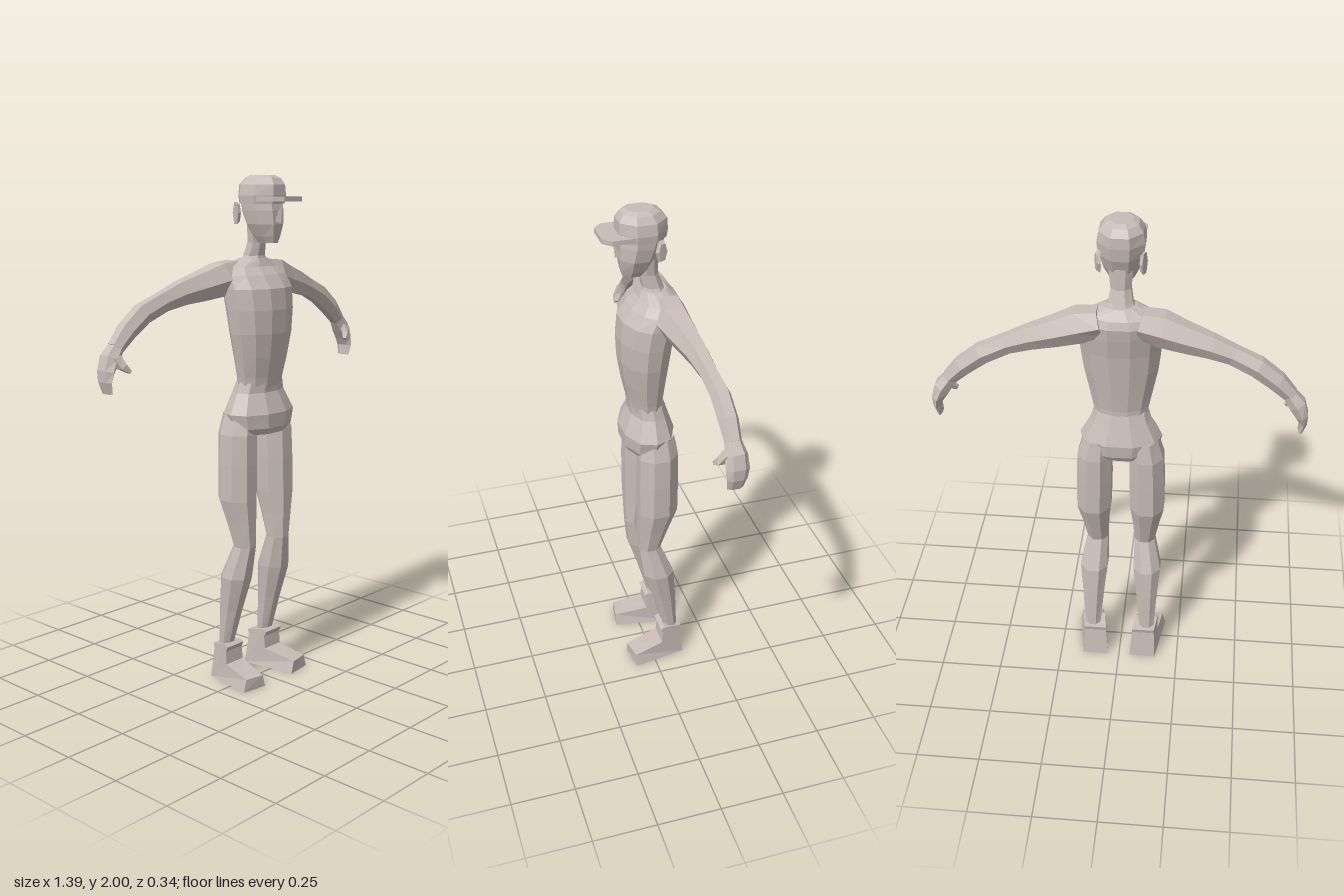
import * as THREE from 'three';

const clay = new THREE.MeshStandardMaterial({ color: 0xc9bcb7, flatShading: true });
clay.name = 'warm grey';

function mesh(name, geometry) {
  const flat = geometry.index ? geometry.toNonIndexed() : geometry;
  flat.computeVertexNormals();
  const m = new THREE.Mesh(flat, clay);
  m.name = name;
  return m;
}

// Closed skin through rings of equal point count, wound counter-clockwise about the travel direction
function skin(rings) {
  const n = rings[0].length, pos = [], index = [];
  const mid = r => r.reduce((a, p) => a.add(p), new THREE.Vector3()).divideScalar(n);
  rings.forEach(r => r.forEach(p => pos.push(p.x, p.y, p.z)));
  const first = rings.length * n;
  [mid(rings[0]), mid(rings[rings.length - 1])].forEach(p => pos.push(p.x, p.y, p.z));
  for (let k = 0; k < n; k++) {
    const j = (k + 1) % n;
    for (let i = 0; i < rings.length - 1; i++) {
      const a = i * n + k, b = i * n + j;
      index.push(a, b, b + n, a, b + n, a + n);
    }
    index.push(first, j, k, first + 1, first - n + k, first - n + j);
  }
  const g = new THREE.BufferGeometry();
  g.setAttribute('position', new THREE.Float32BufferAttribute(pos, 3));
  g.setIndex(index);
  return g;
}

// Upright loft; each row is [y, xMin, xMax, zBack, zFront]
function upright(rows, n = 8, power = 1) {
  const k = 1 / Math.cos(Math.PI / n);
  const bulge = v => Math.sign(v) * Math.min(1, Math.abs(v) ** power * k);
  return skin(rows.map(([y, x0, x1, z0, z1]) => Array.from({ length: n }, (_, i) => {
    const a = (i + 0.5) / n * Math.PI * 2;
    return new THREE.Vector3((x0 + x1) / 2 + bulge(Math.sin(a)) * (x1 - x0) / 2, y,
      (z0 + z1) / 2 + bulge(Math.cos(a)) * (z1 - z0) / 2);
  })));
}
const centred = (rows, n, power) => upright(rows.map(([y, w, z0, z1]) => [y, -w, w, z0, z1]), n, power);

// Limb loft; each row is [x, y, z, half thickness, half depth in z]
function limb(rows, s, n) {
  const c = rows.map(r => new THREE.Vector3(s * r[0], r[1], r[2]));
  const zAxis = new THREE.Vector3(0, 0, 1);
  return skin(rows.map((r, i) => {
    const d = c[Math.min(i + 1, c.length - 1)].clone().sub(c[Math.max(i - 1, 0)]).setZ(0).normalize();
    const u = zAxis.clone().cross(d);
    return Array.from({ length: n }, (_, k) => {
      const a = (k + 0.5) / n * Math.PI * 2, e = 1 / Math.cos(Math.PI / n);
      return c[i].clone().addScaledVector(u, Math.cos(a) * r[3] * e).addScaledVector(zAxis, Math.sin(a) * r[4] * e);
    });
  }));
}

// Side profile of the shoe, swept across its width, then splayed and flared
function shoe(s) {
  const profile = [[-0.13, 0], [0.1, 0], [0.1, 0.05], [-0.035, 0.078], [-0.04, 0.13], [-0.03, 0.15],
    [-0.045, 0.158], [-0.12, 0.145], [-0.115, 0.125]];
  const g = new THREE.ExtrudeGeometry(new THREE.Shape(profile.map(p => new THREE.Vector2(...p))),
    { depth: 0.1, bevelEnabled: false });
  g.rotateY(-Math.PI / 2).translate(0.05, 0, 0);
  const p = g.attributes.position;
  for (let i = 0; i < p.count; i++) {
    const y = p.getY(i), z = p.getZ(i);
    const width = z > 0.05 && y > 0.03 ? 0.8 : y < 0.02 ? 1.08 : 0.93;
    p.setX(i, p.getX(i) * width + s * (0.12 + z * 0.15));
    if (z > 0.05) p.setZ(i, z - 0.015 * Math.max(0, s * Math.sign(p.getX(i) - s * 0.135)));
  }
  return g;
}

export function createModel() {
  const model = new THREE.Group();
  model.name = 'figure';
  const add = (name, g) => model.add(mesh(name, g));

  // Shirt with flared hem
  add('torso', centred([
    [1.2, 0.1, -0.07, 0.06], [1.24, 0.106, -0.07, 0.065], [1.32, 0.122, -0.08, 0.082],
    [1.41, 0.14, -0.092, 0.095], [1.5, 0.15, -0.105, 0.098], [1.58, 0.156, -0.122, 0.09],
    [1.63, 0.152, -0.13, 0.055], [1.66, 0.13, -0.12, 0.025], [1.69, 0.06, -0.085, 0.012]], 12));
  add('hips', centred([
    [1.02, 0.12, -0.085, 0.075], [1.045, 0.145, -0.1, 0.088], [1.1, 0.16, -0.107, 0.09],
    [1.18, 0.118, -0.082, 0.058], [1.22, 0.105, -0.07, 0.06]], 10));

  // Neck and head
  add('neck', centred([[1.66, 0.07, -0.085, 0.015], [1.7, 0.045, -0.07, 0.005],
    [1.75, 0.037, -0.052, 0.015], [1.83, 0.045, -0.05, 0.03]], 8));
  add('head', centred([[1.75, 0.03, 0, 0.078], [1.775, 0.045, -0.025, 0.085], [1.82, 0.066, -0.045, 0.092],
    [1.87, 0.075, -0.065, 0.09], [1.92, 0.078, -0.072, 0.08]], 8));
  const nose = new THREE.ConeGeometry(0.018, 0.07, 4, 1);
  nose.rotateX(0.35).translate(0, 1.862, 0.1);
  add('nose', nose);

  // Cap and brim
  add('cap', centred([[1.895, 0.083, -0.076, 0.092], [1.925, 0.086, -0.08, 0.098],
    [1.965, 0.079, -0.078, 0.096], [1.99, 0.062, -0.056, 0.08], [2, 0.04, -0.035, 0.06]], 8));
  const outline = [[-0.08, -0.05], [0.08, -0.05], [0.08, -0.135], [0.05, -0.165], [-0.05, -0.165], [-0.08, -0.135]];
  const brim = new THREE.ExtrudeGeometry(new THREE.Shape(outline.map(p => new THREE.Vector2(...p))),
    { depth: 0.018, bevelEnabled: false });
  brim.rotateX(-Math.PI / 2).translate(0, 1.904, 0);
  add('capBrim', brim);

  for (const [side, s] of [['left', 1], ['right', -1]]) {
    const ear = new THREE.CylinderGeometry(0.026, 0.02, 0.014, 6);
    ear.rotateZ(Math.PI / 2).scale(1, 1.8, 0.9).rotateY(s * 0.35).translate(s * 0.08, 1.86, -0.045);
    add(side + 'Ear', ear);

    // Arm flows from the shoulder to a mitten hand
    add(side + 'Arm', limb([
      [0.07, 1.635, -0.07, 0.05, 0.055], [0.15, 1.615, -0.068, 0.062, 0.058], [0.24, 1.592, -0.085, 0.053, 0.046],
      [0.33, 1.572, -0.1, 0.044, 0.036], [0.41, 1.546, -0.11, 0.036, 0.029], [0.5, 1.508, -0.122, 0.037, 0.032],
      [0.575, 1.452, -0.125, 0.034, 0.032], [0.63, 1.395, -0.125, 0.026, 0.027]], s, 6));
    add(side + 'Hand', limb([
      [0.62, 1.405, -0.125, 0.024, 0.026], [0.655, 1.36, -0.128, 0.03, 0.036], [0.675, 1.315, -0.128, 0.022, 0.038],
      [0.682, 1.28, -0.125, 0.013, 0.033], [0.674, 1.238, -0.122, 0.008, 0.025]], s, 6));
    add(side + 'Thumb', limb([[0.65, 1.37, -0.105, 0.016, 0.018], [0.64, 1.335, -0.08, 0.014, 0.014],
      [0.615, 1.314, -0.068, 0.006, 0.008]], s, 4));

    // Leg from hip to ankle; rows give inner and outer edges
    const leg = [[1.1, 0.04, 0.145, -0.09, 0.04], [1.02, 0.036, 0.168, -0.102, 0.05], [0.9, 0.036, 0.173, -0.102, 0.053],
      [0.76, 0.04, 0.174, -0.1, 0.053], [0.67, 0.05, 0.155, -0.07, 0.052], [0.57, 0.056, 0.138, -0.038, 0.05],
      [0.44, 0.054, 0.166, -0.09, 0.034], [0.3, 0.07, 0.155, -0.1, -0.01], [0.14, 0.084, 0.146, -0.107, -0.055]];
    add(side + 'Leg', upright(leg.reverse().map(([y, i, o, b, f]) =>
      s > 0 ? [y, i, o, b, f] : [y, -o, -i, b, f]), 8));
    add(side + 'Shoe', shoe(s));
  }
  return model;
}
